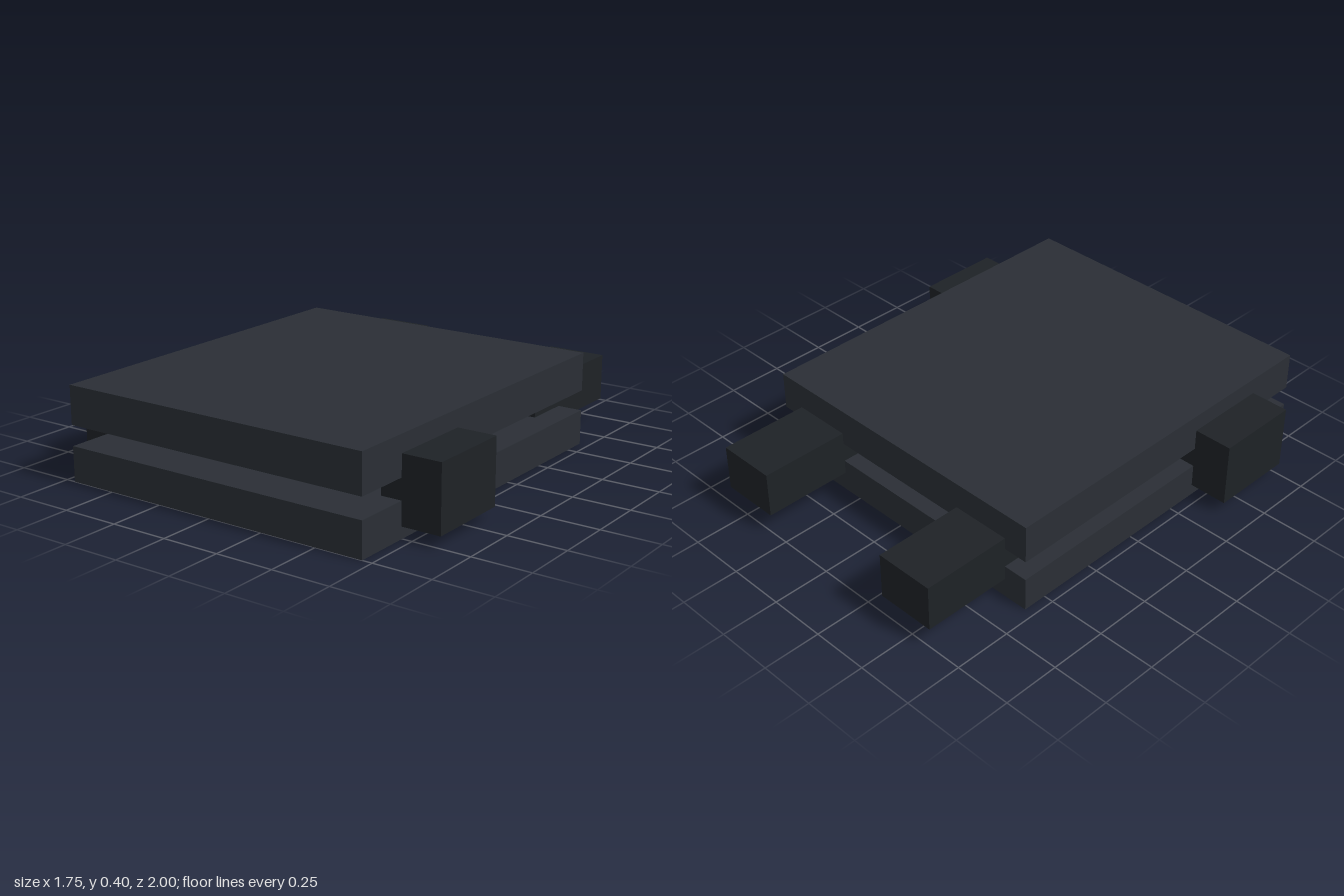
import * as THREE from 'three';

const plateMaterial = new THREE.MeshStandardMaterial({ color: 0x2a2e35 });
const blockMaterial = new THREE.MeshStandardMaterial({ color: 0x1e2226 });

// Box spanning the given [min, max] ranges
function box(name, material, [x0, x1], [y0, y1], [z0, z1]) {
  const mesh = new THREE.Mesh(new THREE.BoxGeometry(x1 - x0, y1 - y0, z1 - z0), material);
  mesh.position.set((x0 + x1) / 2, (y0 + y1) / 2, (z0 + z1) / 2);
  mesh.name = name;
  return mesh;
}

export function createModel() {
  const group = new THREE.Group();
  group.name = 'doublePlate';

  // Two stacked plates with a gap between them
  group.add(
    box('lowerPlate', plateMaterial, [-0.707, 0.707], [0, 0.15], [-0.606, 1]),
    box('upperPlate', plateMaterial, [-0.707, 0.707], [0.238, 0.404], [-0.606, 1]),
  );

  // Mirrored blocks set into the sides and the back edge
  for (const [label, s] of [['left', 1], ['right', -1]]) {
    const span = (a, b) => (s > 0 ? [a, b] : [-b, -a]);
    group.add(
      box(label + 'SideBlock', blockMaterial, span(0.616, 0.877), [0.05, 0.33], [0.383, 0.756]),
      box(label + 'BackBlock', blockMaterial, span(0.336, 0.598), [0.088, 0.29], [-1, -0.4]),
    );
  }
  return group;
}
